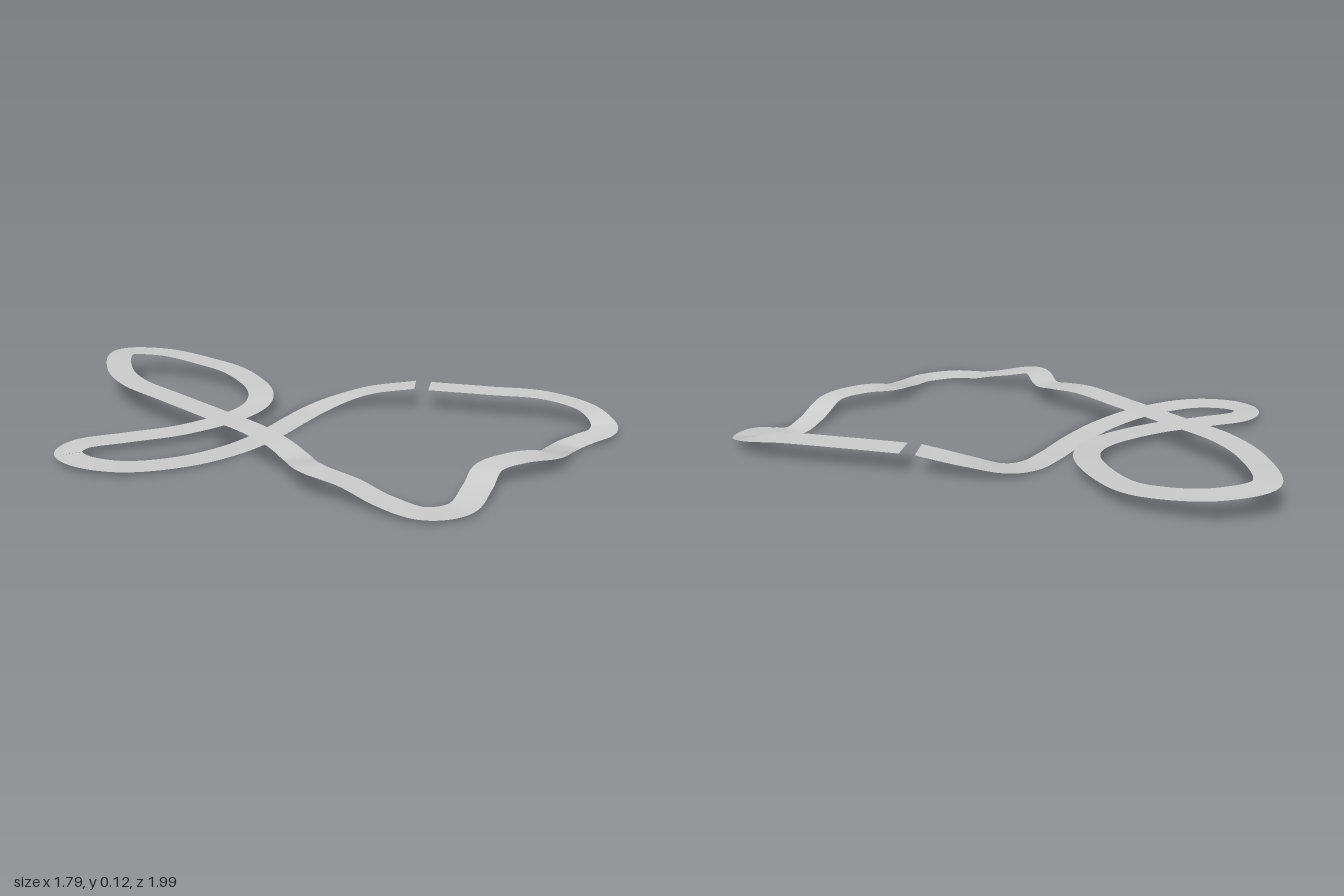
import * as THREE from 'three';

const HALF_WIDTH = 0.052;
const SEGMENTS = 500;

// Centre line of the course, from one side of the gap round to the other: x, y, z
const CENTRE_LINE = [
  // straight after the gap and the dropping corner
  [0.53, 0.1, 0.24], [0.655, 0.1, 0.44], [0.78, 0.098, 0.64], [0.836, 0.07, 0.8],
  [0.807, 0.037, 0.893], [0.745, 0.028, 0.918],
  // weaving front stretch
  [0.675, 0.015, 0.892], [0.6, 0.004, 0.87], [0.5, 0.02, 0.893], [0.35, 0.062, 0.942],
  [0.22, 0.075, 0.9], [0.1, 0.063, 0.861], [-0.02, 0.035, 0.9], [-0.16, 0.015, 0.937],
  // climb up the side with its kink
  [-0.28, 0.016, 0.875], [-0.33, 0.035, 0.74], [-0.362, 0.07, 0.62], [-0.413, 0.1, 0.48],
  [-0.36, 0.087, 0.355], [-0.347, 0.105, 0.26],
  // high straight
  [-0.35, 0.123, 0.13], [-0.35, 0.124, -0.1], [-0.35, 0.124, -0.35], [-0.345, 0.124, -0.6],
  // big back loop
  [-0.275, 0.124, -0.79], [-0.125, 0.124, -0.947], [0.025, 0.108, -0.86],
  [0.115, 0.085, -0.69], [0.147, 0.072, -0.53], [0.07, 0.064, -0.29],
  [-0.03, 0.054, -0.2], [-0.16, 0.046, -0.177],
  // side loop
  [-0.4, 0.037, -0.225], [-0.6, 0.034, -0.32], [-0.76, 0.032, -0.392],
  [-0.835, 0.029, -0.365], [-0.845, 0.025, -0.28], [-0.76, 0.018, -0.14],
  [-0.565, 0.01, -0.035], [-0.35, 0.004, 0],
  // low crossing and the rise back to the gap
  [-0.15, 0.001, -0.015], [0.04, 0.002, -0.055], [0.17, 0.008, -0.072],
  [0.28, 0.027, -0.05], [0.39, 0.065, 0.035], [0.5, 0.1, 0.188],
].map((p) => new THREE.Vector3(...p));

// Sweeps a level strip of constant width along a curve
function ribbon(curve, halfWidth, segments) {
  const positions = [];
  const indices = [];
  for (let i = 0; i <= segments; i++) {
    const p = curve.getPointAt(i / segments);
    const t = curve.getTangentAt(i / segments).setY(0).normalize();
    const sx = t.z * halfWidth;
    const sz = -t.x * halfWidth;
    positions.push(p.x + sx, p.y, p.z + sz, p.x - sx, p.y, p.z - sz);
    if (i < segments) {
      const a = i * 2;
      indices.push(a + 1, a + 3, a, a, a + 3, a + 2);
    }
  }
  const geometry = new THREE.BufferGeometry();
  geometry.setAttribute('position', new THREE.Float32BufferAttribute(positions, 3));
  geometry.setIndex(indices);
  geometry.computeVertexNormals();
  return geometry;
}

export function createModel() {
  const group = new THREE.Group();
  group.name = 'raceTrack';
  const curve = new THREE.CatmullRomCurve3(CENTRE_LINE, false, 'centripetal');
  curve.arcLengthDivisions = 2000;

  // Thin road surface
  const road = new THREE.Mesh(
    ribbon(curve, HALF_WIDTH, SEGMENTS),
    new THREE.MeshStandardMaterial({ color: 0xcccccc, side: THREE.DoubleSide }),
  );
  road.name = 'roadSurface';
  group.add(road);
  return group;
}
